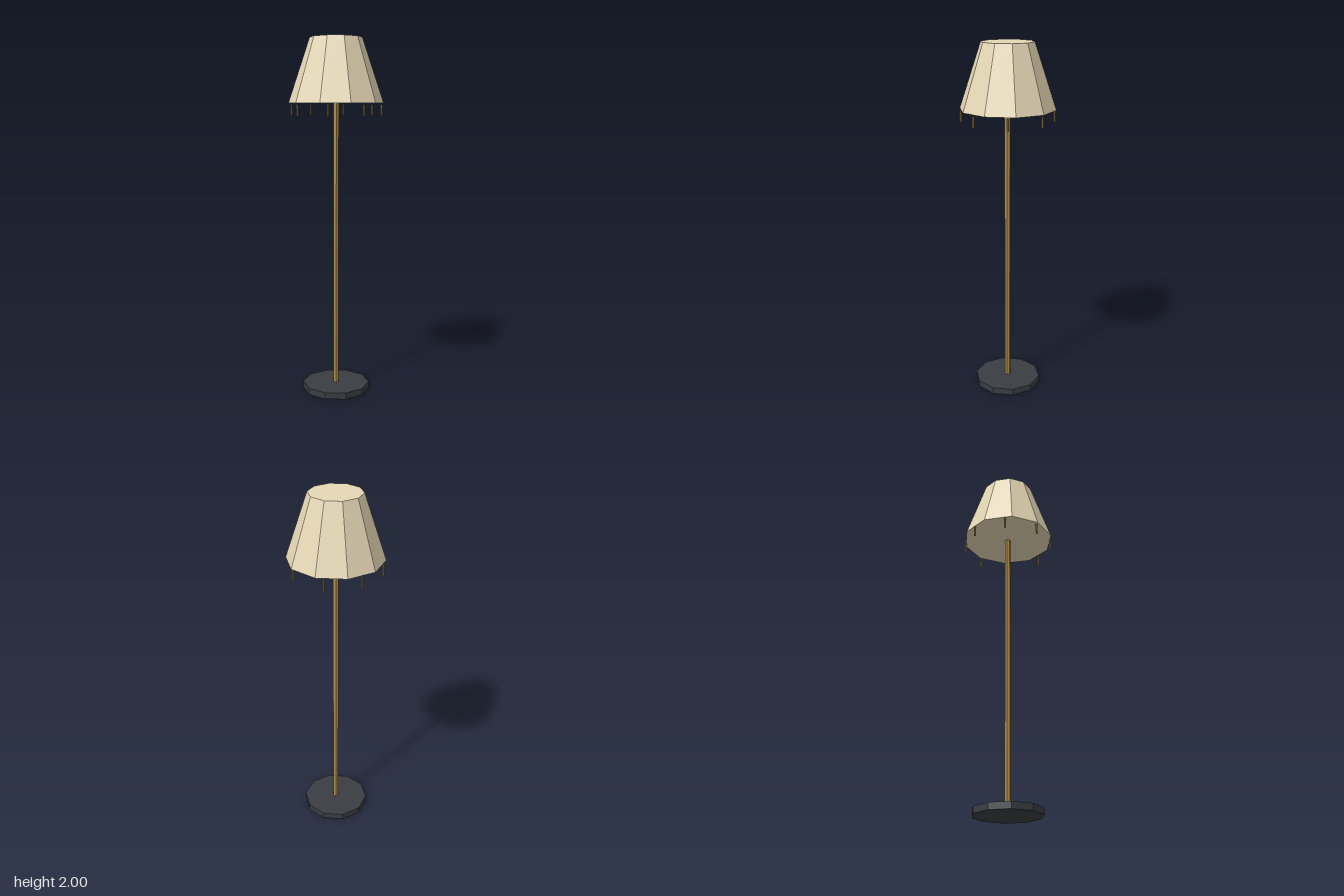
import * as THREE from 'three';

const material = (color) => new THREE.MeshStandardMaterial({ color, flatShading: true });

// Faceted upright cylinder spanning y0 to y1
function column(name, rTop, rBottom, y0, y1, sides, mat) {
  const mesh = new THREE.Mesh(new THREE.CylinderGeometry(rTop, rBottom, y1 - y0, sides), mat);
  mesh.name = name;
  mesh.position.y = (y0 + y1) / 2;
  return mesh;
}

export function createModel() {
  const lamp = new THREE.Group();
  lamp.name = 'floorLamp';
  const brass = material(0xb08d45);

  // Base, pole and closed ten-sided shade
  lamp.add(column('base', 0.19, 0.19, 0, 0.037, 10, material(0x3a3d42)));
  lamp.add(column('pole', 0.017, 0.017, 0.037, 1.65, 6, brass));
  lamp.add(column('shade', 0.144, 0.263, 1.645, 2, 10, material(0xe6d8b6)));

  // Ring of small tassels hanging under the shade rim
  const tassels = new THREE.Group();
  tassels.name = 'tassels';
  for (let i = 0; i < 8; i++) {
    const angle = (i * Math.PI) / 4;
    const tassel = column('tassel', 0.006, 0.006, 1.577, 1.637, 6, brass);
    tassel.position.x = Math.cos(angle) * 0.253;
    tassel.position.z = Math.sin(angle) * 0.253;
    tassels.add(tassel);
  }
  lamp.add(tassels);
  return lamp;
}
